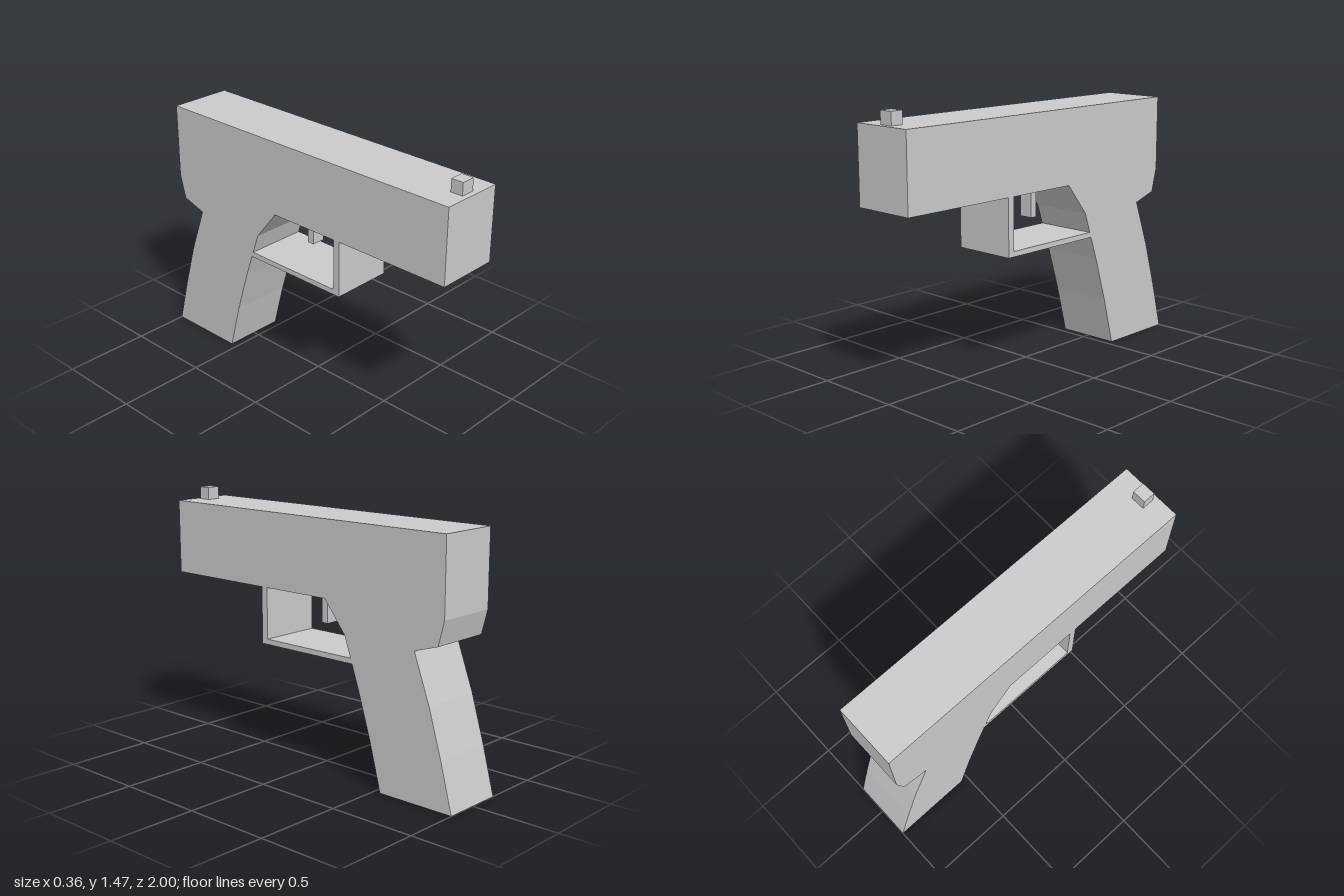
import * as THREE from 'three';

const WIDTH = 0.36;
const material = new THREE.MeshStandardMaterial({ color: 0xcccccc, flatShading: true });

// Side profile given as [z, y] points, extruded across x and centred
function profilePart(name, points, width) {
  const shape = new THREE.Shape(points.map(([z, y]) => new THREE.Vector2(z, y)));
  const geometry = new THREE.ExtrudeGeometry(shape, { depth: width, bevelEnabled: false });
  geometry.translate(0, 0, -width / 2).rotateY(-Math.PI / 2);
  const mesh = new THREE.Mesh(geometry, material);
  mesh.name = name;
  return mesh;
}

// Box spanning z0..z1 and y0..y1, centred on x
function boxPart(name, width, [y0, y1], [z0, z1]) {
  const mesh = new THREE.Mesh(new THREE.BoxGeometry(width, y1 - y0, z1 - z0), material);
  mesh.position.set(0, (y0 + y1) / 2, (z0 + z1) / 2);
  mesh.name = name;
  return mesh;
}

export function createModel() {
  const model = new THREE.Group();
  model.name = 'pistol';

  // Slide and curved grip in one solid
  model.add(profilePart('slideAndGrip', [
    [1, 1.4], [-0.93, 1.4], [-0.93, 0.98],
    [-0.895, 0.845], [-0.75, 0.8],            // rear overhang
    [-0.85, 0.53], [-0.928, 0.27], [-1, 0],   // back of grip
    [-0.54, 0], [-0.468, 0.27], [-0.387, 0.53],
    [-0.29, 0.805], [-0.15, 0.98],            // front of grip
    [1, 0.98],
  ], WIDTH));

  // L-shaped trigger guard, from the slide back to the grip
  model.add(profilePart('triggerGuard', [
    [0.32, 0.98], [0.28, 0.98], [0.28, 0.69],
    [-0.335, 0.69], [-0.345, 0.66], [0.32, 0.66],
  ], WIDTH));

  model.add(boxPart('trigger', 0.08, [0.805, 0.98], [-0.04, 0]));
  model.add(boxPart('frontSight', 0.08, [1.4, 1.47], [0.9, 0.97]));

  return model;
}
